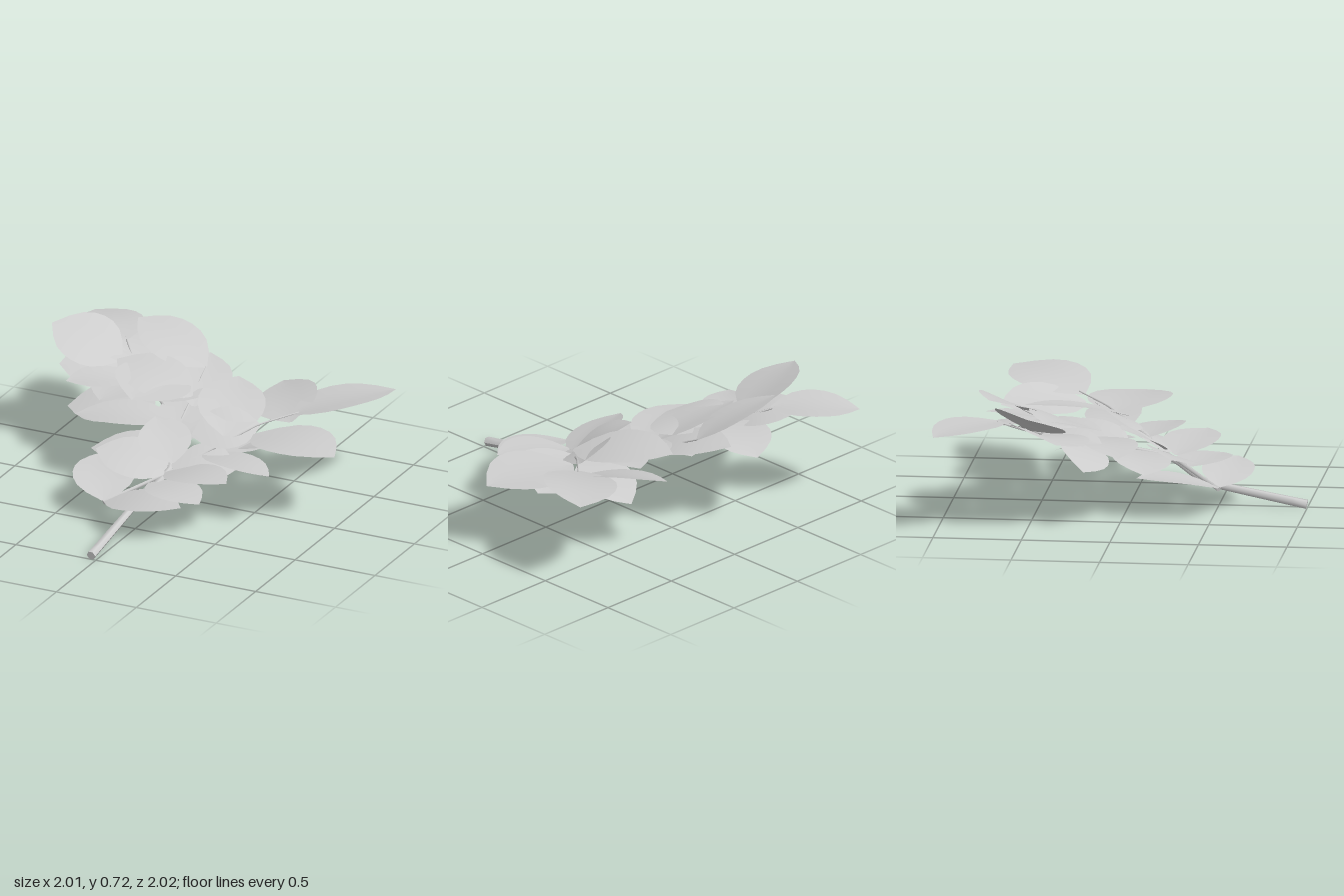
import * as THREE from 'three';

const grey = new THREE.MeshStandardMaterial({ color: 0xcccccc, side: THREE.DoubleSide });
grey.name = 'pale grey';

// Tapered six-sided twig swept along nearly straight, kinked segments
function twig(name, pts, r0, r1) {
  const path = new THREE.CatmullRomCurve3(pts.map(p => new THREE.Vector3(...p)), false, 'catmullrom', 0.12);
  const rings = 24, sides = 6;
  const geo = new THREE.TubeGeometry(path, rings, 1, sides, false);
  const pos = geo.attributes.position, v = new THREE.Vector3();
  for (let i = 0; i <= rings; i++) {
    const c = path.getPointAt(i / rings);
    const r = r0 + (r1 - r0) * i / rings;
    for (let j = 0; j <= sides; j++) {
      const k = i * (sides + 1) + j;
      v.fromBufferAttribute(pos, k).sub(c).multiplyScalar(r).add(c);
      pos.setXYZ(k, v.x, v.y, v.z);
    }
  }
  geo.computeVertexNormals();
  const g = new THREE.Group();
  g.name = name;
  g.add(new THREE.Mesh(geo, grey));
  // Cut end
  const cap = new THREE.Mesh(new THREE.CircleGeometry(r0, sides), grey);
  cap.position.copy(path.getPointAt(0));
  cap.lookAt(path.getPointAt(0).sub(path.getTangentAt(0)));
  g.add(cap);
  return g;
}

// Pointed oval leaf from base to tip, gently arched and folded along its midrib.
// A negative roll lifts the edge on the right of the base-to-tip direction.
const outline = [0.06, 0.55, 0.85, 0.98, 1, 0.94, 0.78, 0.46, 0];
function leaf(base, tip, width, roll = 0) {
  const a = new THREE.Vector3(...base);
  const dir = new THREE.Vector3(...tip).sub(a), len = dir.length();
  dir.normalize();
  const side = new THREE.Vector3().crossVectors(dir, new THREE.Vector3(0, 1, 0)).normalize();
  side.applyAxisAngle(dir, roll);
  const up = new THREE.Vector3().crossVectors(side, dir);
  const rows = outline.length - 1, cols = 4;
  const geo = new THREE.PlaneGeometry(1, 1, cols, rows);
  const pos = geo.attributes.position, p = new THREE.Vector3();
  for (let i = 0; i <= rows; i++) {
    const t = i / rows;
    for (let j = 0; j <= cols; j++) {
      const s = (1 - j / cols * 2) * outline[i];
      p.copy(a).addScaledVector(dir, len * t)
        .addScaledVector(side, s * width / 2)
        .addScaledVector(up, 0.04 * len * Math.sin(Math.PI * t) + 0.03 * width * Math.abs(s));
      pos.setXYZ(i * (cols + 1) + j, p.x, p.y, p.z);
    }
  }
  geo.computeVertexNormals();
  const mesh = new THREE.Mesh(geo, grey);
  mesh.name = 'leaf';
  return mesh;
}

// Base, tip, width, sideways tilt
const leftLeaves = [
  [[-0.62, 0.6, -0.66], [-0.99, 0.58, -1], 0.36, 0],
  [[-0.58, 0.54, -0.5], [-1, 0.7, -0.47], 0.42, -0.3],
  [[-0.5, 0.52, -0.48], [-0.72, 0.6, -0.8], 0.36, 0.1],
  [[-0.48, 0.5, -0.5], [-0.88, 0.53, -0.32], 0.42, -0.35],
  [[-0.45, 0.49, -0.45], [-0.52, 0.46, -0.1], 0.34, 0],
  [[-0.45, 0.49, -0.42], [-0.77, 0.5, -0.18], 0.26, -0.1],
  [[-0.1, 0.55, -0.6], [-0.59, 0.71, -0.73], 0.33, -0.25],
  [[-0.42, 0.54, -0.54], [-0.28, 0.48, -0.9], 0.32, 0.1],
  [[-0.03, 0.44, -0.3], [-0.17, 0.55, -0.8], 0.34, 0.1],
  [[-0.06, 0.48, -0.34], [-0.57, 0.58, -0.42], 0.34, -0.25],
  [[-0.25, 0.44, -0.28], [0, 0.5, -0.66], 0.3, 0.1],
  [[-0.27, 0.53, -0.52], [-0.33, 0.49, -0.12], 0.46, -0.15],
];
const middleLeaves = [
  [[-0.08, 0.4, -0.16], [-0.62, 0.4, 0], 0.32, -0.05],
  [[-0.25, 0.43, -0.26], [-0.76, 0.35, -0.18], 0.32, -0.45],
  [[0, 0.31, 0.04], [-0.46, 0.27, 0.13], 0.34, -0.1],
  [[0.08, 0.26, 0.22], [-0.36, 0.34, 0.27], 0.32, -0.35],
  [[0.08, 0.3, 0.18], [-0.14, 0.46, -0.04], 0.3, -0.15],
  [[0.04, 0.36, -0.02], [0.2, 0.42, -0.45], 0.3, 0],
  [[-0.03, 0.36, -0.1], [-0.1, 0.43, -0.48], 0.32, 0],
  [[-0.19, 0.15, 0.52], [-0.4, 0.24, 0.08], 0.35, 0],
  [[-0.18, 0.15, 0.52], [0.32, 0.22, 0.57], 0.29, 0.1],
  [[0, 0.22, 0.32], [0.39, 0.22, 0.48], 0.3, 0],
  [[0.07, 0.27, 0.25], [0.51, 0.33, 0.38], 0.32, 0],
];
const rightLeaves = [
  [[0.07, 0.29, 0.18], [0.44, 0.3, 0.1], 0.34, 0.35],
  [[0.2, 0.33, 0.05], [0.68, 0.33, 0.18], 0.28, -0.1],
  [[0.22, 0.33, 0], [0.28, 0.23, -0.46], 0.32, 0.1],
  [[0.43, 0.42, -0.14], [0.99, 0.43, -0.02], 0.48, -0.04],
  [[0.36, 0.34, -0.08], [0.81, 0.4, -0.25], 0.32, -0.2],
  [[0.57, 0.49, -0.33], [1, 0.555, -0.78], 0.42, -0.12],
  [[0.57, 0.45, -0.32], [0.3, 0.48, -0.77], 0.37, -0.3],
  [[0.3, 0.43, -0.02], [0.1, 0.53, -0.61], 0.38, 0.12],
  [[0.43, 0.45, -0.21], [0.1, 0.4, 0], 0.3, -0.5],
];

export function createModel() {
  const model = new THREE.Group();
  model.name = 'leafyBranch';

  model.add(
    twig('mainStem', [[-0.03, 0.03, 1], [-0.02, 0.14, 0.43], [0.07, 0.26, 0.22], [-0.05, 0.35, -0.12],
      [-0.25, 0.43, -0.33], [-0.5, 0.52, -0.52], [-0.64, 0.6, -0.68]], 0.027, 0.005),
    twig('rightTwig', [[-0.19, 0.14, 0.52], [0.1, 0.27, 0.2], [0.25, 0.36, 0.03],
      [0.43, 0.46, -0.18], [0.6, 0.5, -0.36]], 0.014, 0.004),
    twig('backTwig', [[-0.05, 0.36, -0.13], [-0.08, 0.44, -0.36], [-0.1, 0.55, -0.6]], 0.008, 0.004),
  );

  const clusters = { leftLeaves, middleLeaves, rightLeaves };
  for (const [name, list] of Object.entries(clusters)) {
    const g = new THREE.Group();
    g.name = name;
    for (const spec of list) g.add(leaf(...spec));
    model.add(g);
  }
  return model;
}
